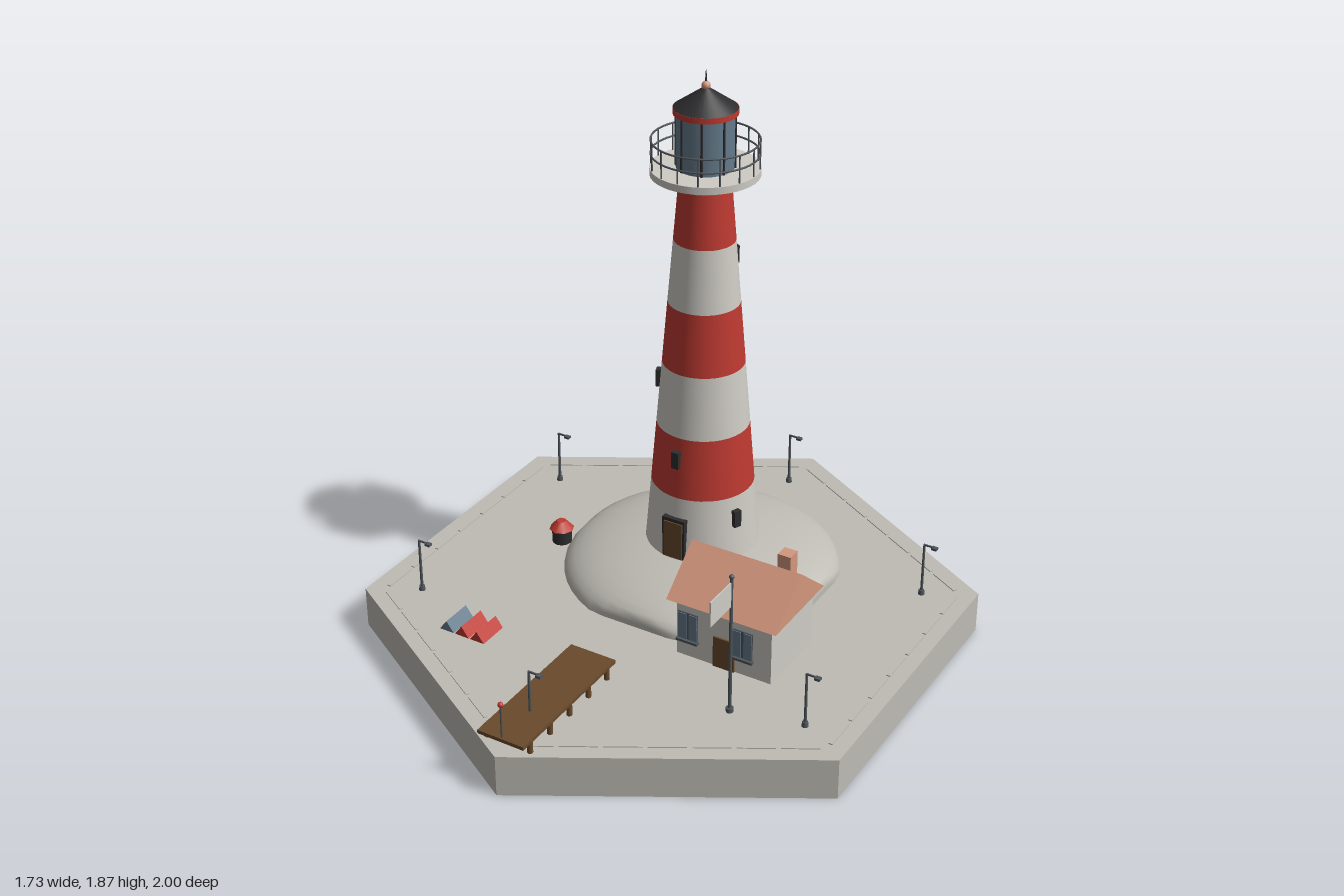
import * as THREE from 'three';

const mat = (name, color) => {
  const m = new THREE.MeshStandardMaterial({ color });
  m.name = name;
  return m;
};

export function createModel() {
  const root = new THREE.Group();
  root.name = 'lighthouseIsland';

  const stone = mat('stone', 0xbebcb4);
  const white = mat('white', 0xcfccc5);
  const red = mat('red', 0xbe3a31);
  const dark = mat('dark', 0x2d2d2f);
  const glass = mat('glass', 0x657b8c);
  const brown = mat('brown', 0x6a4b2c);
  const terracotta = mat('terracotta', 0xd3977d);
  const metal = mat('metal', 0x50565c);

  const add = (parent, name, geo, material, x = 0, y = 0, z = 0) => {
    const m = new THREE.Mesh(geo, material);
    m.name = name;
    m.position.set(x, y, z);
    parent.add(m);
    return m;
  };
  const group = (name, x = 0, y = 0, z = 0, parent = root) => {
    const g = new THREE.Group();
    g.name = name;
    g.position.set(x, y, z);
    parent.add(g);
    return g;
  };
  const box = (w, h, d) => new THREE.BoxGeometry(w, h, d);
  const cyl = (rTop, rBottom, h, n = 8) => new THREE.CylinderGeometry(rTop, rBottom, h, n);
  const ball = (r) => new THREE.SphereGeometry(r, 12, 8);
  // Triangular prism standing on y = 0 with its ridge along z
  const gable = (width, height, length) => {
    const s = new THREE.Shape();
    s.moveTo(-width / 2, 0);
    s.lineTo(width / 2, 0);
    s.lineTo(0, height);
    s.closePath();
    return new THREE.ExtrudeGeometry(s, { depth: length, bevelEnabled: false })
      .translate(0, 0, -length / 2);
  };

  // Hexagonal slab with a broken kerb near the edge
  const slab = cyl(1, 1, 0.14, 6).toNonIndexed();
  slab.computeVertexNormals();
  add(root, 'slab', slab, stone, 0, 0.07, 0);
  for (let side = 0; side < 6; side++) {
    const kerb = group('kerb', 0, 0.141, 0);
    kerb.rotation.y = Math.PI / 6 + side * Math.PI / 3;
    for (let i = 0; i < 7; i++) {
      add(kerb, 'kerbStone', box(0.115, 0.005, 0.012), stone, (i - 3) * 0.13, 0, 0.81);
    }
  }

  // Mound: flattened dome trimmed on four sides
  const mound = new THREE.SphereGeometry(1, 48, 12, 0, Math.PI * 2, 0, Math.PI / 2);
  mound.scale(0.46, 0.132, 0.46);
  const p = mound.attributes.position;
  for (let i = 0; i < p.count; i++) {
    p.setX(i, THREE.MathUtils.clamp(p.getX(i), -0.433, 0.433));
    p.setZ(i, THREE.MathUtils.clamp(p.getZ(i), -0.433, 0.433));
  }
  mound.computeVertexNormals();
  add(root, 'mound', mound, stone, 0, 0.139, -0.2);

  // Striped tower
  const tower = group('tower', 0, 0, -0.2);
  const towerRadius = (y) => 0.186 - 0.0833 * (y - 0.265);
  const bands = [0.26, 0.48, 0.69, 0.905, 1.115, 1.325, 1.52];
  for (let i = 0; i < 6; i++) {
    const a = bands[i], b = bands[i + 1];
    add(tower, 'towerBand', cyl(towerRadius(b), towerRadius(a), b - a, 40),
      i % 2 ? red : white, 0, (a + b) / 2, 0);
  }

  // Small windows spiralling up the tower
  for (let i = 0; i < 5; i++) {
    const y = 0.405 + i * 0.211;
    const a = THREE.MathUtils.degToRad(67 - 69 * i);
    const r = towerRadius(y);
    const w = add(tower, 'towerWindow', box(0.026, 0.058, 0.03), dark,
      Math.sin(a) * r, y, Math.cos(a) * r);
    w.rotation.y = a;
  }
  add(tower, 'doorFrame', box(0.082, 0.145, 0.03), dark, 0, 0.338, 0.174);
  add(tower, 'towerDoor', box(0.068, 0.132, 0.006), brown, 0, 0.333, 0.19);

  // Gallery with railing
  add(tower, 'galleryCollar', cyl(0.12, 0.095, 0.035, 40), white, 0, 1.523, 0);
  add(tower, 'galleryFloor', cyl(0.17, 0.17, 0.023, 40), white, 0, 1.551, 0);
  for (let i = 0; i < 16; i++) {
    const a = i * Math.PI / 8;
    add(tower, 'railPost', cyl(0.0025, 0.0025, 0.088, 6), metal,
      Math.sin(a) * 0.166, 1.606, Math.cos(a) * 0.166);
  }
  for (const y of [1.607, 1.65]) {
    add(tower, 'rail', new THREE.TorusGeometry(0.166, 0.003, 6, 48).rotateX(Math.PI / 2),
      metal, 0, y, 0);
  }

  // Lantern room, roof and finial
  add(tower, 'lanternGlass', cyl(0.09, 0.09, 0.175, 24), glass, 0, 1.65, 0);
  for (let i = 0; i < 8; i++) {
    const a = (i + 0.5) * Math.PI / 4;
    add(tower, 'glazingBar', cyl(0.004, 0.004, 0.175, 6), dark,
      Math.sin(a) * 0.09, 1.65, Math.cos(a) * 0.09);
  }
  add(tower, 'roofRim', cyl(0.1, 0.1, 0.018, 32), red, 0, 1.743, 0);
  add(tower, 'lanternRoof', cyl(0.012, 0.099, 0.06, 32), dark, 0, 1.782, 0);
  add(tower, 'finialBall', ball(0.014), terracotta, 0, 1.82, 0);
  add(tower, 'finialSpike', cyl(0.001, 0.004, 0.045, 6), dark, 0, 1.846, 0);

  // Keeper's house
  const house = group('house', 0.437, 0.265, 0.3);
  add(house, 'houseWalls', box(0.322, 0.197, 0.26), white, 0, 0.0985, 0);
  add(house, 'houseRoof', gable(0.305, 0.127, 0.37).rotateY(Math.PI / 2), terracotta, 0, 0.195, 0);
  add(house, 'chimney', box(0.044, 0.13, 0.044), terracotta, 0.106, 0.272, -0.062);
  add(house, 'houseDoor', box(0.072, 0.105, 0.008), brown, 0.003, 0.0525, 0.132);
  for (const x of [-0.121, 0.066]) {
    add(house, 'windowFrame', box(0.066, 0.095, 0.006), metal, x, 0.108, 0.131);
    for (const s of [-1, 1]) {
      add(house, 'windowPane', box(0.027, 0.09, 0.006), glass, x + s * 0.018, 0.108, 0.134);
    }
    add(house, 'windowSill', box(0.074, 0.008, 0.016), metal, x, 0.058, 0.136);
  }

  // Flagpole
  const flagpole = group('flagpole', 0.478, 0.14, 0.46);
  add(flagpole, 'pole', cyl(0.005, 0.006, 0.48), metal, 0, 0.24, 0);
  add(flagpole, 'poleBase', cyl(0.012, 0.012, 0.015, 10), metal, 0, 0.0075, 0);
  add(flagpole, 'poleBall', ball(0.008), metal, 0, 0.48, 0);
  add(flagpole, 'flag', box(0.004, 0.085, 0.12), white, 0, 0.42, 0.064);

  // Round hut
  const hut = group('roundHut', -0.36, 0.272, 0.095);
  add(hut, 'hutBody', cyl(0.032, 0.032, 0.05, 12), dark, 0, 0.025, 0);
  add(hut, 'hutRoof', cyl(0.016, 0.041, 0.028, 8), red, 0, 0.063, 0);

  // Upturned boats
  [-0.497, -0.439, -0.381].forEach((x, i) => {
    add(root, 'upturnedBoat', gable(0.053, 0.036, 0.105), i ? red : glass, x, 0.14, 0.503);
  });

  // Pier with a red beacon
  const pier = group('pier', 0, 0.14, 0);
  add(pier, 'pierDeck', box(0.162, 0.012, 0.5), brown, 0, 0.041, 0.72);
  for (let i = 0; i < 5; i++) {
    for (const s of [-1, 1]) {
      add(pier, 'pierPost', cyl(0.009, 0.009, 0.044), brown, s * 0.076, 0.022, 0.512 + i * 0.104);
    }
  }
  add(pier, 'beaconPole', cyl(0.003, 0.003, 0.115), metal, 0, 0.1, 0.96);
  add(pier, 'beaconLight', ball(0.009), red, 0, 0.162, 0.96);

  // Street lamps at the six corners
  for (let i = 0; i < 6; i++) {
    const a = i * Math.PI / 3;
    const lamp = group('lamp', Math.sin(a) * 0.814, 0.14, Math.cos(a) * 0.814);
    add(lamp, 'lampBase', cyl(0.009, 0.011, 0.016, 10), metal, 0, 0.008, 0);
    add(lamp, 'lampPost', cyl(0.004, 0.005, 0.19), metal, 0, 0.095, 0);
    add(lamp, 'lampArm', box(0.035, 0.005, 0.005), metal, 0.017, 0.188, 0);
    add(lamp, 'lampHead', box(0.018, 0.008, 0.016), metal, 0.036, 0.185, 0);
  }

  return root;
}
